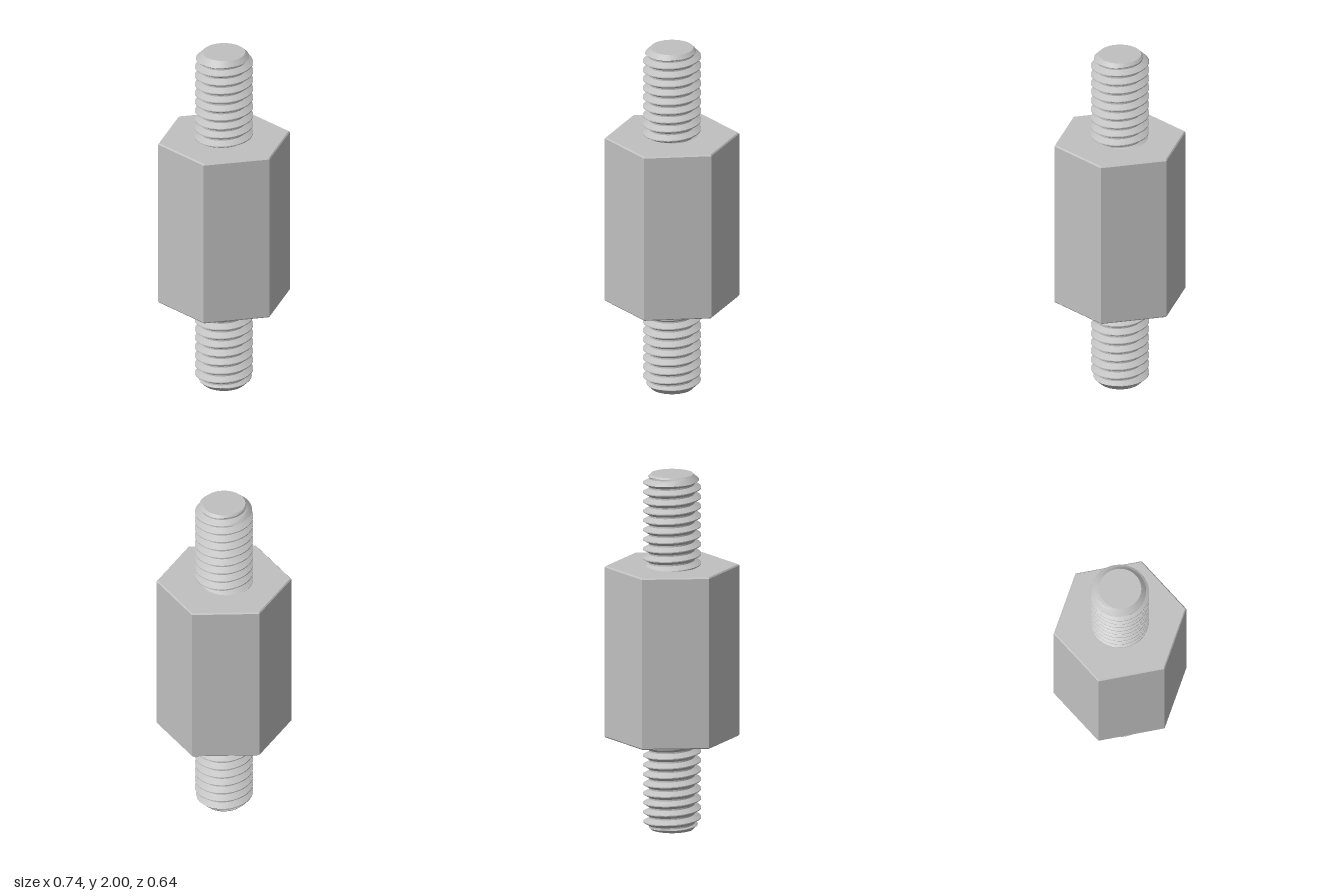
import * as THREE from 'three';
import { toCreasedNormals } from 'three/addons/utils/BufferGeometryUtils.js';

const TOP = 2, BASE = 1.47;          // stud extent
const PITCH = 0.0533, CREST = 0.16, ROOT = 0.126;
const TIP = 0.117, SEGMENTS = 72;

// One period of the thread profile: [fraction of pitch, radius], starting mid-crest
const flank = (from, to, r0, r1, n) => Array.from({ length: n }, (_, i) =>
  [from + (to - from) * i / n, r0 + (r1 - r0) * i / n]);
const PROFILE = [
  ...flank(0.05, 0.42, CREST, ROOT, 6),
  ...flank(0.42, 0.58, ROOT, ROOT, 1),
  ...flank(0.58, 0.95, ROOT, CREST, 6),
  [0.95, CREST],
];

// Right-handed helical surface, trimmed at the base and by a tip chamfer
function threadGeometry() {
  const columns = [];
  for (let i = 0; i <= SEGMENTS; i++) {
    const a = i / SEGMENTS * Math.PI * 2;
    const column = [];
    for (let k = -11; k <= 2; k++) {
      for (const [f, radius] of PROFILE) {
        const raw = 1.955 + PITCH * (i / SEGMENTS - 0.25 + k + f);
        const y = Math.min(TOP, Math.max(BASE, raw));
        const r = Math.min(radius, TIP + (TOP - y));
        column.push(new THREE.Vector3(r * Math.cos(a), y, -r * Math.sin(a)));
      }
    }
    columns.push(column);
  }
  const positions = [];
  const area = new THREE.Triangle();
  const addTriangle = (a, b, c) => {
    if (area.set(a, b, c).getArea() < 1e-9) return;
    for (const p of [a, b, c]) positions.push(p.x, p.y, p.z);
  };
  for (let i = 0; i < SEGMENTS; i++) {
    for (let j = 0; j < columns[0].length - 1; j++) {
      const a = columns[i][j], b = columns[i + 1][j];
      const c = columns[i + 1][j + 1], d = columns[i][j + 1];
      addTriangle(a, b, c);
      addTriangle(a, c, d);
    }
  }
  const geometry = new THREE.BufferGeometry();
  geometry.setAttribute('position', new THREE.Float32BufferAttribute(positions, 3));
  return toCreasedNormals(geometry, 0.4);
}

// Hexagonal prism with thin edge chamfers, corners on the x axis
function hexGeometry() {
  const low = 0.518, high = 1.484, r = 0.371, c = 0.007;
  const profile = [[0, low], [r - c, low], [r, low + c], [r, high - c], [r - c, high], [0, high]]
    .map(([x, y]) => new THREE.Vector2(x, y));
  const geometry = new THREE.LatheGeometry(profile, 6, Math.PI / 6).toNonIndexed();
  geometry.computeVertexNormals();
  return geometry;
}

export function createModel() {
  const steel = new THREE.MeshStandardMaterial({ color: 0xc0c0c0 });
  steel.name = 'steel grey';

  const model = new THREE.Group();
  model.name = 'hexStandoff';
  const add = (parent, geometry, name) => {
    const mesh = new THREE.Mesh(geometry, steel);
    mesh.name = name;
    parent.add(mesh);
  };

  add(model, hexGeometry(), 'hexBody');

  // The lower stud is the upper one turned half a turn about the body centre
  const thread = threadGeometry();
  const cap = new THREE.CircleGeometry(TIP, SEGMENTS).rotateX(-Math.PI / 2).translate(0, TOP, 0);
  for (const name of ['upperStud', 'lowerStud']) {
    const stud = new THREE.Group();
    stud.name = name;
    add(stud, thread, 'thread');
    add(stud, cap, 'endFace');
    if (name === 'lowerStud') {
      stud.rotation.z = Math.PI;
      stud.position.y = 2;
    }
    model.add(stud);
  }
  return model;
}
